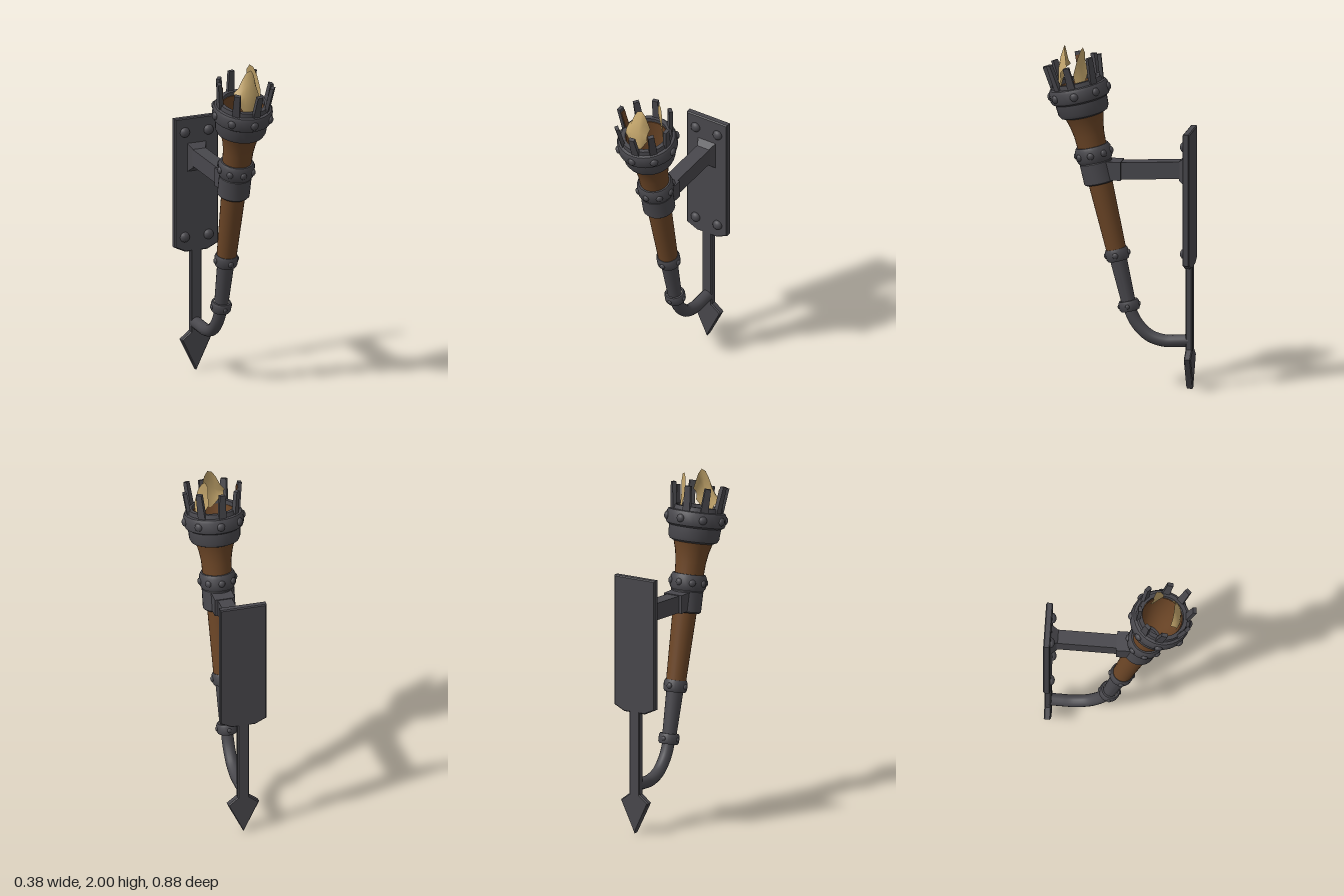
import * as THREE from 'three';
import { toCreasedNormals } from 'three/addons/utils/BufferGeometryUtils.js';

const iron = new THREE.MeshStandardMaterial({ color: 0x48474c });
iron.name = 'dark iron';
const wood = new THREE.MeshStandardMaterial({ color: 0x6b4526 });
wood.name = 'brown wood';
const cloth = new THREE.MeshStandardMaterial({ color: 0xc4a66c, side: THREE.DoubleSide });
cloth.name = 'tan cloth';

function add(parent, name, geometry, material, x = 0, y = 0, z = 0) {
  const mesh = new THREE.Mesh(geometry, material);
  mesh.name = name;
  mesh.position.set(x, y, z);
  parent.add(mesh);
  return mesh;
}

// Turned part from [radius, height] pairs
function turned(points, sides = 24) {
  const profile = points.map(([r, y]) => new THREE.Vector2(r, y));
  return toCreasedNormals(new THREE.LatheGeometry(profile, sides), 0.6);
}

// Flat forged part from an outline, lying against the wall
function forged(parent, name, outline) {
  const shape = new THREE.Shape(outline.map(([x, y]) => new THREE.Vector2(x, y)));
  const geometry = new THREE.ExtrudeGeometry(shape, {
    depth: 0.028, bevelEnabled: true, bevelSize: 0.006, bevelOffset: -0.006, bevelThickness: 0.006, bevelSegments: 1,
  });
  return add(parent, name, geometry, iron, 0, 0, -0.429);
}

// Band with rounded edges and a row of rivets
function collar(parent, name, s, radius, half, rivets, rivetSize) {
  const group = new THREE.Group();
  group.name = name;
  group.position.y = s;
  parent.add(group);
  const inner = radius * 0.72;
  add(group, 'band', turned([
    [inner, -half], [radius * 0.9, -half], [radius, -half * 0.6],
    [radius, half * 0.6], [radius * 0.9, half], [inner, half],
  ]), iron);
  rivetRow(group, 0, radius, rivets, rivetSize);
}

function rivetRow(parent, s, radius, count, size) {
  for (let i = 0; i < count; i++) {
    const a = (i / count) * Math.PI * 2;
    const rivet = add(parent, 'rivet', new THREE.SphereGeometry(size, 10, 8), iron,
      Math.sin(a) * radius, s, Math.cos(a) * radius);
    rivet.rotation.y = a;
    rivet.scale.z = 0.65;
  }
}

// Torn sheet from columns of [x, z, bottom, top]; tops lean by the given amount in z
function sheet(columns, lean) {
  const rows = 4, positions = [], index = [];
  columns.forEach(([x, z, y0, y1], i) => {
    for (let j = 0; j <= rows; j++) {
      const t = j / rows;
      positions.push(x, y0 + (y1 - y0) * t, z + lean * t * t + 0.012 * Math.sin(t * Math.PI));
      if (i > 0 && j > 0) {
        const d = i * (rows + 1) + j, c = d - rows - 1;
        index.push(c - 1, d - 1, d, c - 1, d, c);
      }
    }
  });
  const geometry = new THREE.BufferGeometry();
  geometry.setAttribute('position', new THREE.Float32BufferAttribute(positions, 3));
  geometry.setIndex(index);
  geometry.computeVertexNormals();
  return geometry;
}

export function createModel() {
  const model = new THREE.Group();
  model.name = 'wallTorch';

  // Wall plate, shaft and spear point
  forged(model, 'wallPlate', [[-0.137, 1.525], [-0.137, 0.752], [-0.07, 0.72], [0.07, 0.72], [0.137, 0.752], [0.137, 1.525]]);
  forged(model, 'plateShaft', [[-0.034, 0.74], [-0.034, 0.2], [0.034, 0.2], [0.034, 0.74]]);
  forged(model, 'spearPoint', [[-0.035, 0.235], [-0.093, 0.19], [0, 0], [0.093, 0.19], [0.035, 0.235]]);
  for (const x of [-0.075, 0.075]) {
    for (const y of [0.81, 1.44]) {
      add(model, 'plateRivet', new THREE.SphereGeometry(0.03, 14, 10), iron, x, y, -0.394).scale.z = 0.75;
    }
  }

  // Bracket arm with flared foot and clamp block
  add(model, 'bracketArm', new THREE.BoxGeometry(0.084, 0.1, 0.38), iron, 0, 1.285, -0.19).rotation.x = 0.05;
  const foot = new THREE.CylinderGeometry(0.46, 0.707, 0.038, 4).rotateY(Math.PI / 4);
  foot.scale(0.12, 1, 0.17).rotateX(Math.PI / 2);
  add(model, 'armFoot', toCreasedNormals(foot, 0.5), iron, 0, 1.288, -0.377);
  add(model, 'clampBlock', new THREE.BoxGeometry(0.12, 0.108, 0.1), iron, 0, 1.277, 0.03);

  // Curved hook joining the torch to the shaft
  const path = new THREE.CatmullRomCurve3([
    [0.497, -0.057], [0.44, -0.072], [0.37, -0.11], [0.305, -0.18], [0.278, -0.27], [0.28, -0.34], [0.285, -0.41],
  ].map(([y, z]) => new THREE.Vector3(0, y, z)));
  add(model, 'hook', new THREE.TubeGeometry(path, 32, 0.036, 14), iron);

  // Leaning torch, built along its own axis
  const torch = new THREE.Group();
  torch.name = 'torch';
  torch.position.y = 0.74;
  torch.rotation.x = 0.23;
  model.add(torch);

  add(torch, 'handle', turned([
    [0, 0.02], [0.057, 0.04], [0.07, 0.47], [0.084, 0.68], [0.088, 0.76], [0.098, 0.82], [0.112, 0.87],
    [0.128, 0.91], [0.128, 1.06], [0.118, 1.06], [0.114, 0.92], [0.09, 0.82], [0.076, 0.7], [0.07, 0.6], [0, 0.6],
  ]), wood);
  add(torch, 'innerBand', turned([[0.074, 0.65], [0.08, 0.69], [0.06, 0.69], [0.06, 0.62]]), iron);
  add(torch, 'lowerSocket', turned([[0.04, -0.28], [0.05, 0.03]], 18), iron);
  collar(torch, 'hookCollar', -0.267, 0.06, 0.03, 4, 0.013);
  collar(torch, 'socketCollar', 0.04, 0.068, 0.035, 4, 0.017);
  add(torch, 'clampRing', turned([
    [0.065, 0.47], [0.088, 0.47], [0.094, 0.477], [0.094, 0.593], [0.088, 0.6], [0.065, 0.6],
  ]), iron);
  collar(torch, 'upperCollar', 0.645, 0.105, 0.047, 8, 0.02);

  // Fire basket: cup, riveted ring and rim
  add(torch, 'basketCup', turned([
    [0.115, 0.875], [0.138, 0.885], [0.148, 0.905], [0.152, 0.965], [0.168, 0.975], [0.174, 0.99], [0.174, 1.04],
    [0.166, 1.056], [0.15, 1.06], [0.146, 1.085], [0.122, 1.085], [0.122, 0.95],
  ], 28), iron);
  rivetRow(torch, 1.015, 0.174, 8, 0.024);

  // Prongs, uneven in height and angle
  const heights = [0.15, 0.17, 0.14, 0.165, 0.155, 0.15, 0.17, 0.155];
  heights.forEach((h, i) => {
    const pivot = new THREE.Group();
    pivot.name = 'prong';
    pivot.rotation.y = i * Math.PI / 4 + [0.12, 0.05, -0.06, 0.08][i % 4];
    torch.add(pivot);
    const bar = new THREE.BoxGeometry(0.046, h, 0.022).translate(0, h / 2, 0);
    const p = bar.attributes.position;
    for (let k = 0; k < p.count; k++) if (p.getY(k) > 0) p.setX(k, p.getX(k) * 0.75);
    const mesh = add(pivot, 'prongBar', bar, iron, 0, 1.05, 0.142);
    mesh.rotation.x = 0.13;
    if (i === 6) add(mesh, 'prongLining', new THREE.BoxGeometry(0.032, h * 0.85, 0.006), wood, 0, h * 0.45, -0.013);
  });

  // Torn cloth standing in the basket
  add(model, 'frontCloth', sheet([
    [-0.085, 0.325, 1.81, 1.87], [-0.06, 0.335, 1.79, 1.9], [-0.035, 0.342, 1.75, 1.955], [-0.012, 0.345, 1.73, 1.99],
    [0.015, 0.345, 1.74, 2.0], [0.035, 0.34, 1.77, 1.97], [0.06, 0.325, 1.81, 1.88],
  ], -0.03), cloth);
  add(model, 'rearCloth', sheet([
    [0.045, 0.17, 1.86, 1.97], [0.06, 0.18, 1.82, 2.0], [0.078, 0.19, 1.79, 1.985],
    [0.095, 0.205, 1.78, 1.94], [0.11, 0.225, 1.78, 1.85],
  ], 0.02), cloth);
  return model;
}
